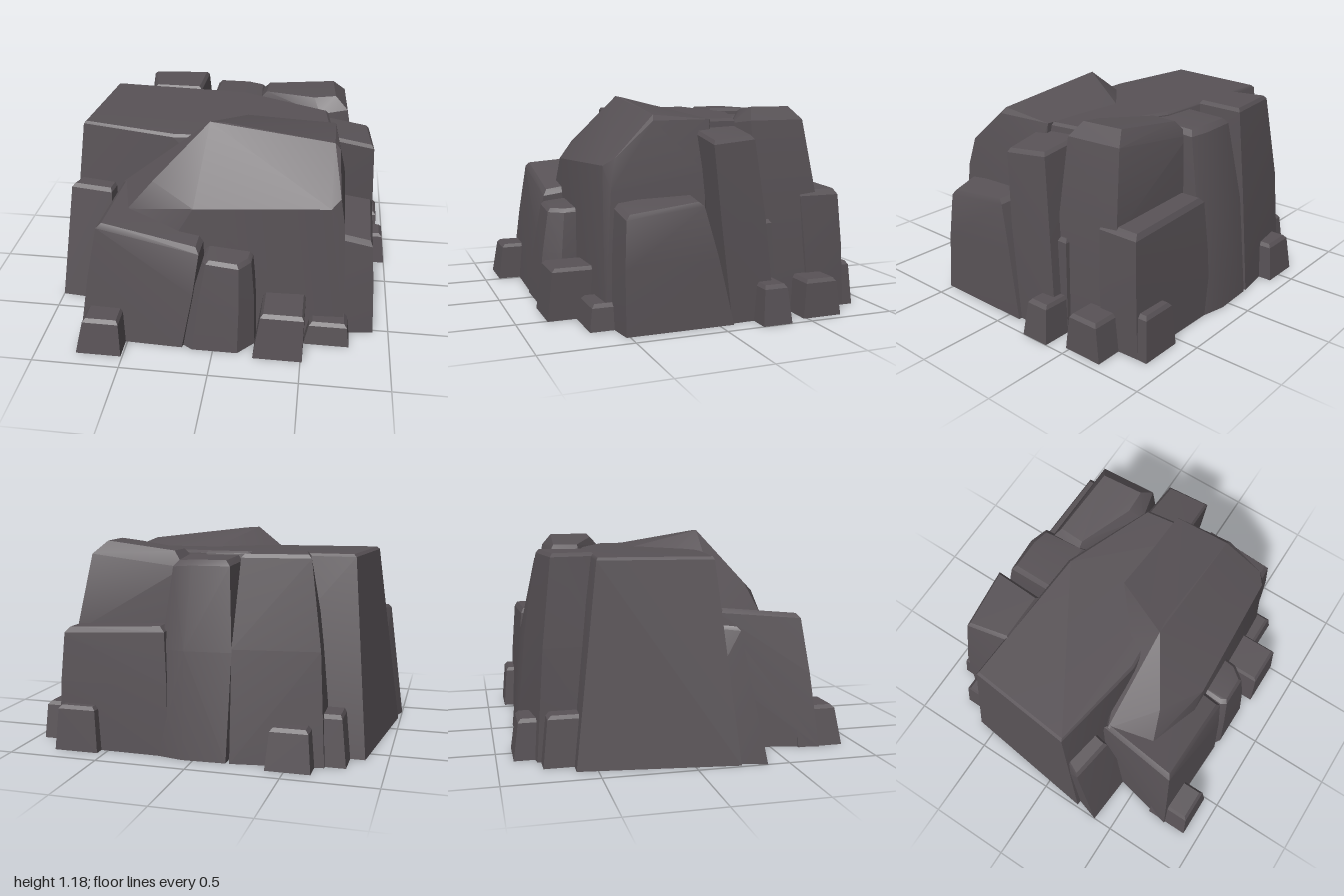
import * as THREE from 'three';
import { ConvexGeometry } from 'three/addons/geometries/ConvexGeometry.js';
import { toCreasedNormals } from 'three/addons/utils/BufferGeometryUtils.js';

export function createModel() {
  const group = new THREE.Group();
  group.name = 'rockFormation';
  const stone = new THREE.MeshStandardMaterial({ color: 0x585256 });
  stone.name = 'darkStone';

  const addHull = (name, points) => {
    const mesh = new THREE.Mesh(toCreasedNormals(new ConvexGeometry(points), 0.4), stone);
    mesh.name = name;
    group.add(mesh);
  };

  // One weathered block: base corners [x, z] and matching top corners [x, y, z],
  // with a chamfered rim and slightly bulging sides.
  function rock(name, base, top, bevel = 0.03, bulge = 0.015) {
    const b = base.map(([x, z]) => new THREE.Vector3(x, 0, z));
    const t = top.map((p) => new THREE.Vector3(...p));
    const centre = t.reduce((s, p) => s.add(p), new THREE.Vector3()).divideScalar(t.length);
    const points = [...b];
    t.forEach((p, i) => {
      const inward = centre.clone().sub(p).setLength(bevel);
      const down = b[i].clone().sub(p).setLength(bevel);
      const out = p.clone().sub(centre).setY(0).setLength(bulge);
      points.push(p.clone().add(inward), p.clone().add(down));
      points.push(p.clone().lerp(b[i], 0.45).add(out));
    });
    addHull(name, points);
  }

  // Four-cornered block from base and top rectangles: [x0, x1, z0, z1]
  const corners = ([x0, x1, z0, z1]) => [[x0, z0], [x1, z0], [x1, z1], [x0, z1]];
  const block = (name, base, top, y) =>
    rock(name, corners(base), corners(top).map(([x, z]) => [x, y, z]), 0.02, 0);

  // Tall core with the broad flat top
  rock('mainSlab',
    [[-0.88, -0.61], [0.1, -0.6], [0.72, -0.3], [0.72, 0.28], [-0.2, 0.3], [-0.985, 0.24]],
    [[-0.79, 1.08, -0.48], [0.05, 1.08, -0.44], [0.57, 1.07, -0.23], [0.62, 1.07, 0.15],
      [-0.3, 1.07, 0.22], [-0.85, 1.08, 0.12]], 0.015, 0);

  // Leaning front boulder with a sloping ridge
  addHull('frontBoulder', [
    [-0.6, 0, 0.62], [0.74, 0, 0.58], [0.74, 0, 0], [-0.6, 0, 0.1],
    [-0.08, 1.18, 0.25], [0.0, 1.175, 0.24], [0.62, 1.1, 0.27], [0.65, 1.07, 0.28],
    [0.62, 1.07, -0.06], [0.1, 1.075, -0.1], [-0.15, 1.07, 0.1],
    [-0.38, 0.89, 0.45], [-0.6, 0.76, 0.24], [-0.52, 0.73, 0.5],
    [-0.13, 0.81, 0.59], [0.62, 0.84, 0.55], [0.67, 0.88, 0.5],
    [0.7, 0.72, 0.53], [0.69, 0.8, 0.0],
  ].map((p) => new THREE.Vector3(...p)));

  // Front steps
  rock('frontLeftBoulder',
    [[-0.78, 0.77], [-0.66, 0.2], [-0.05, 0.3], [-0.18, 0.79]],
    [[-0.65, 0.74, 0.69], [-0.6, 0.78, 0.22], [-0.06, 0.66, 0.45], [-0.08, 0.62, 0.7]], 0.03, 0.008);
  rock('frontMiddleRock',
    [[-0.2, 0.75], [-0.2, 0.45], [0.23, 0.45], [0.23, 0.7], [0.14, 0.8], [-0.12, 0.8]],
    [[-0.06, 0.57, 0.7], [-0.05, 0.59, 0.5], [0.21, 0.56, 0.5], [0.2, 0.55, 0.65],
      [0.14, 0.55, 0.73], [-0.04, 0.57, 0.73]], 0.02, 0.008);

  // Left shoulder, flush with the side of the main slab
  rock('leftStep',
    [[-1.0, 0.38], [-0.85, -0.1], [-0.6, -0.1], [-0.65, 0.41]],
    [[-0.92, 0.72, 0.24], [-0.78, 0.74, -0.05], [-0.62, 0.74, 0.0], [-0.67, 0.72, 0.28]], 0.02, 0);

  // Right side
  rock('rightStep',
    [[0.6, 0.56], [0.6, -0.1], [0.91, -0.08], [0.91, 0.52]],
    [[0.63, 0.67, 0.52], [0.64, 0.68, 0.06], [0.86, 0.66, 0.08], [0.86, 0.61, 0.5]], 0.025, 0.008);
  rock('rightColumn',
    [[0.5, -0.05], [0.5, -0.34], [0.88, -0.34], [0.89, -0.08]],
    [[0.54, 1.03, 0.03], [0.56, 1.03, -0.24], [0.82, 0.99, -0.23], [0.85, 0.97, 0.02]], 0.02, 0.01);
  block('rightSliver', [0.7, 0.83, -0.38, -0.28], [0.7, 0.8, -0.35, -0.29], 0.53);

  // Back right: upper boulder resting on a lower ledge
  rock('backRightBoulder',
    [[0.08, -0.4], [0.1, -0.68], [0.79, -0.68], [0.81, -0.33], [0.55, -0.2]],
    [[0.1, 1.08, -0.44], [0.12, 1.08, -0.63], [0.66, 1.14, -0.6], [0.68, 1.14, -0.27], [0.52, 1.12, -0.24]],
    0.08, 0.04);
  rock('backRightLedge',
    [[0.15, -0.84], [0.79, -0.83], [0.8, -0.6], [0.15, -0.4]],
    [[0.18, 0.7, -0.79], [0.76, 0.67, -0.79], [0.76, 0.67, -0.55], [0.18, 0.7, -0.4]], 0.03, 0.008);

  // Back columns
  rock('backLeftColumn',
    [[-0.69, -0.79], [-0.2, -0.86], [-0.16, -0.4], [-0.68, -0.4]],
    [[-0.59, 1.09, -0.69], [-0.23, 1.09, -0.73], [-0.24, 1.09, -0.45], [-0.54, 1.09, -0.45]], 0.02, 0.025);
  rock('backMiddleColumn',
    [[-0.18, -0.86], [0.06, -0.87], [0.2, -0.84], [0.2, -0.35], [-0.18, -0.35]],
    [[-0.16, 1.05, -0.7], [0.05, 1.05, -0.71], [0.16, 1.04, -0.68], [0.17, 1.06, -0.4], [-0.16, 1.06, -0.4]],
    0.03, 0.03);

  // Small stones around the foot
  [
    [[-0.77, -0.51, 0.65, 0.91], [-0.72, -0.52, 0.65, 0.88], 0.22],
    [[0.23, 0.51, 0.5, 0.83], [0.27, 0.51, 0.5, 0.8], 0.285],
    [[0.51, 0.77, 0.45, 0.67], [0.54, 0.75, 0.45, 0.65], 0.14],
    [[0.75, 1.0, -0.38, -0.21], [0.75, 0.97, -0.36, -0.23], 0.21],
    [[0.7, 0.95, -0.71, -0.48], [0.7, 0.94, -0.68, -0.5], 0.21],
    [[0.54, 0.79, -0.89, -0.7], [0.56, 0.77, -0.87, -0.7], 0.25],
    [[-0.64, -0.4, -0.91, -0.7], [-0.62, -0.42, -0.88, -0.7], 0.22],
    [[-0.8, -0.63, -0.77, -0.5], [-0.77, -0.65, -0.74, -0.5], 0.27],
  ].forEach(([base, top, y], i) => block('footStone' + (i + 1), base, top, y));

  return group;
}
